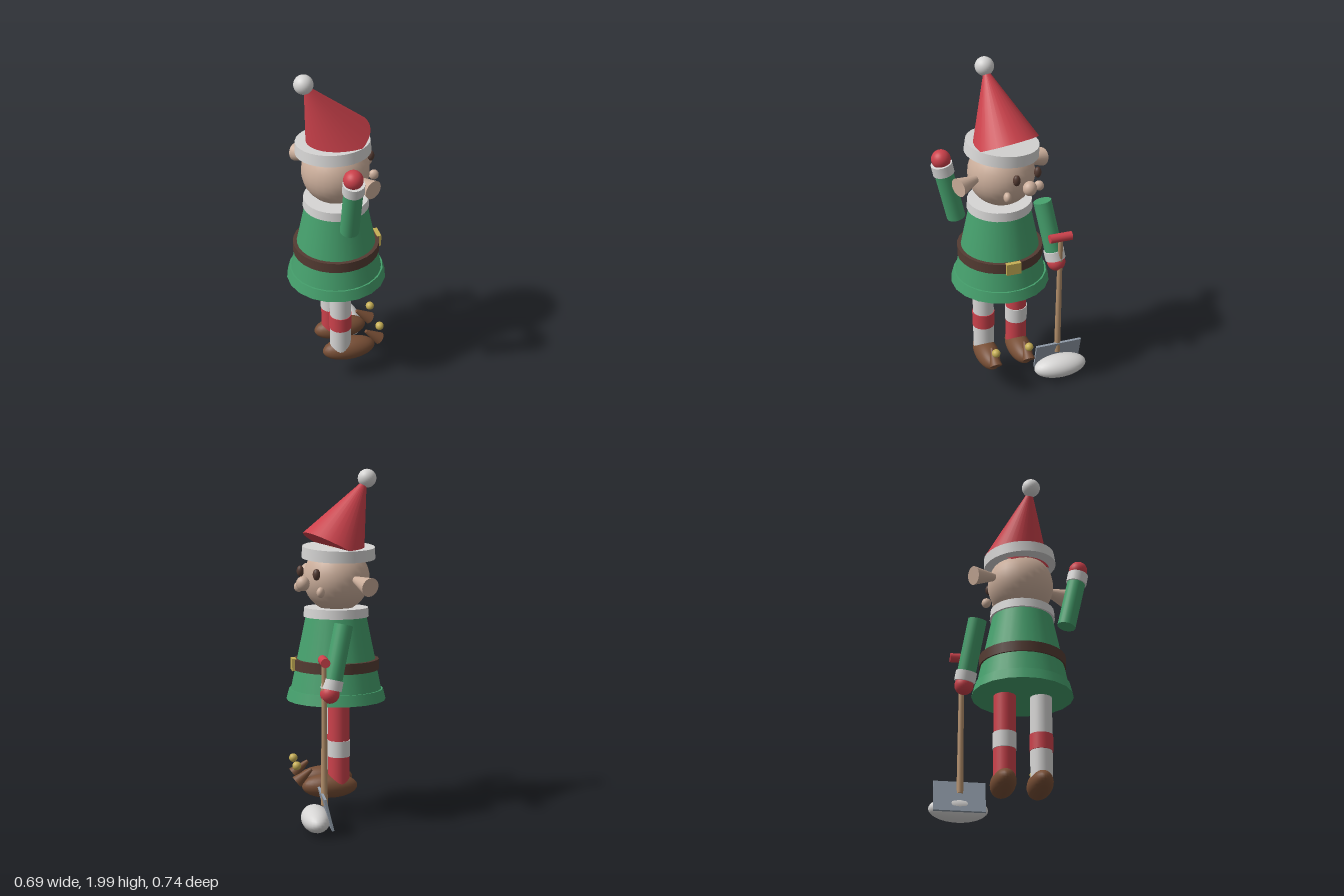
import * as THREE from 'three';

export function createModel() {
  const model = new THREE.Group();
  const mat = (name, color) => {
    const m = new THREE.MeshStandardMaterial({ color });
    m.name = name;
    return m;
  };
  const red = mat('red', 0xcb414b);
  const green = mat('green', 0x459f6c);
  const white = mat('white', 0xd6d5d4);
  const skin = mat('skin', 0xcbae9b);
  const brown = mat('shoe brown', 0x774e35);
  const dark = mat('dark brown', 0x543b32);
  const gold = mat('gold', 0xc5ae55);
  const wood = mat('wood', 0xb28e6a);
  const steel = mat('steel', 0x8e99a6);

  const V = (x, y, z) => new THREE.Vector3(x, y, z);
  const UP = V(0, 1, 0);
  function add(name, geo, material, pos, parent = model) {
    const m = new THREE.Mesh(geo, material);
    m.name = name;
    m.position.copy(pos);
    parent.add(m);
    return m;
  }
  // Capped cylinder running from a (radius ra) to b (radius rb)
  function rod(name, a, b, ra, rb, material, sides = 24) {
    const d = b.clone().sub(a);
    const geo = new THREE.CylinderGeometry(rb, ra, d.length(), sides);
    const m = add(name, geo, material, a.clone().lerp(b, 0.5));
    m.quaternion.setFromUnitVectors(UP, d.normalize());
    return m;
  }
  // Ellipsoid with half sizes along its own axes, turned about y
  function ball(name, pos, rx, ry, rz, material, turn = 0) {
    const m = add(name, new THREE.SphereGeometry(1, 28, 18), material, pos);
    m.scale.set(rx, ry, rz);
    m.rotation.y = turn;
    return m;
  }

  // Body faces between +x and +z
  const YAW = -0.495;
  const forward = V(Math.cos(YAW), 0, -Math.sin(YAW));
  const side = V(-Math.sin(YAW), 0, -Math.cos(YAW)).multiply(V(1, 0, 1));
  const CX = -0.06, CZ = 0.014;
  const along = (p, f, y) => p.clone().addScaledVector(forward, f).setY(y);

  // Tunic, hem, belt, buckle and collar
  rod('tunic', V(CX, 0.74, CZ), V(CX, 1.18, CZ), 0.262, 0.172, green, 32);
  rod('hem', V(CX, 0.69, CZ), V(CX, 0.752, CZ), 0.286, 0.27, green, 20);
  rod('belt', V(CX, 0.865, CZ), V(CX, 0.925, CZ), 0.246, 0.246, dark, 28);
  add('buckle', new THREE.BoxGeometry(0.025, 0.07, 0.085), gold,
    along(V(CX, 0, CZ), 0.245, 0.895)).rotation.y = YAW;
  rod('collar', V(CX, 1.168, CZ), V(CX, 1.22, CZ), 0.187, 0.183, white, 28);

  // Legs with contrasting bands, and curled shoes
  const legs = [
    { at: V(-0.112, 0, 0.103), main: white, band: red, label: 'right' },
    { at: V(-0.014, 0, -0.075), main: red, band: white, label: 'left' },
  ];
  for (const { at, main, band, label } of legs) {
    rod(label + 'Leg', along(at, 0, 0.2), along(at, 0, 0.71), 0.062, 0.062, main);
    rod(label + 'LegBand', along(at, 0, 0.375), along(at, 0, 0.468), 0.066, 0.066, band);
    const shoe = along(at, 0.052, 0.2);
    ball(label + 'Shoe', shoe, 0.16, 0.07, 0.07, brown, YAW);
    rod(label + 'Toe', along(shoe, 0.105, 0.3), along(shoe, 0.19, 0.228), 0.01, 0.037, brown);
    ball(label + 'Bell', along(shoe, 0.19, 0.322), 0.025, 0.025, 0.025, gold);
  }

  // Arms: sleeve, cuff, mitten
  function arm(label, shoulder, cuffStart, cuffEnd, hand) {
    rod(label + 'Sleeve', shoulder, cuffStart, 0.053, 0.053, green);
    rod(label + 'Cuff', cuffStart, cuffEnd, 0.06, 0.06, white);
    ball(label + 'Mitten', hand, 0.054, 0.054, 0.054, red);
  }
  arm('right', V(-0.178, 1.15, 0.243), V(-0.207, 1.435, 0.3), V(-0.214, 1.495, 0.31),
    V(-0.217, 1.52, 0.309));
  arm('left', V(0.058, 1.148, -0.217), V(0.14, 0.85, -0.229), V(0.155, 0.795, -0.231),
    V(0.162, 0.775, -0.23));

  // Head and face
  ball('head', V(-0.055, 1.385, 0.005), 0.19, 0.19, 0.19, skin);
  ball('nose', V(0.17, 1.365, 0.015), 0.038, 0.042, 0.04, skin);
  ball('rightCheek', V(0.115, 1.336, 0.135), 0.028, 0.03, 0.022, skin, -0.6);
  ball('leftCheek', V(0.132, 1.322, -0.103), 0.028, 0.03, 0.022, skin, 0.6);
  ball('rightEye', V(0.138, 1.43, 0.087), 0.02, 0.032, 0.021, dark, -0.4);
  ball('leftEye', V(0.143, 1.42, -0.078), 0.02, 0.032, 0.021, dark, 0.4);
  rod('rightEar', V(-0.068, 1.405, 0.17), V(-0.076, 1.4, 0.319), 0.016, 0.054, skin);
  rod('leftEar', V(-0.052, 1.393, -0.16), V(-0.045, 1.357, -0.322), 0.016, 0.054, skin);

  // Leaning hat with brim and bobble
  rod('hatBrim', V(-0.062, 1.503, -0.006), V(-0.06, 1.568, -0.009), 0.21, 0.206, white, 32)
    .rotation.set(-0.085, 0, -0.04);
  rod('hat', V(-0.03, 1.56, 0), V(-0.225, 1.945, -0.048), 0.192, 0.004, red, 32);
  ball('hatBobble', V(-0.23, 1.948, -0.05), 0.053, 0.053, 0.053, white);

  // Shovel: shaft, crossbar, blade and its heap of snow
  const grip = V(0.197, 0.957, -0.224);
  rod('shovelShaft', V(0.193, 0.15, -0.222), grip, 0.019, 0.014, wood, 16);
  rod('shovelGrip', grip.clone().addScaledVector(side, -0.067),
    grip.clone().addScaledVector(side, 0.067), 0.026, 0.026, red, 20);
  const blade = add('shovelBlade', new THREE.BoxGeometry(0.014, 0.182, 0.285), steel,
    V(0.188, 0.13, -0.228));
  blade.rotation.set(0, YAW, -0.24, 'YXZ');
  ball('snowHeap', V(0.238, 0.075, -0.2), 0.08, 0.069, 0.164, white, YAW);

  return model;
}
